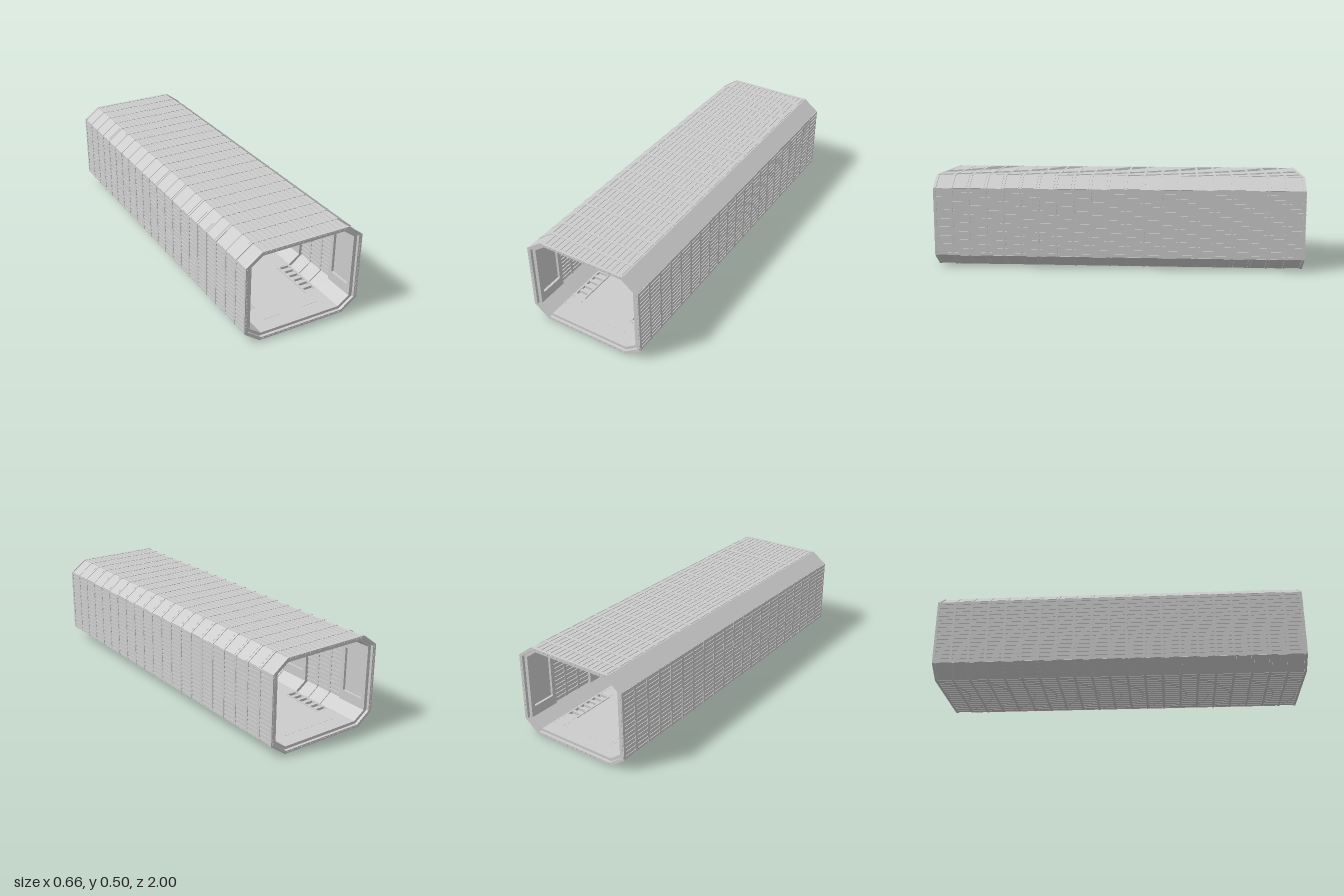
import * as THREE from 'three';
import { mergeGeometries } from 'three/addons/utils/BufferGeometryUtils.js';

const grey = new THREE.MeshStandardMaterial({ color: 0xcccccc, flatShading: true });
const MID = 0.25; // height of the tube axis

// Chamfered section: k = 0 is the outer skin, k = 1 the innermost lip.
const section = k => ({ w: 0.332 - 0.039 * k, h: 0.25 - 0.03 * k, cx: 0.245 - 0.015 * k, cy: 0.185 - 0.01 * k });

// Octagon outline; a notch cuts a shallow window recess into both side walls.
function outline(k, notch = 0) {
  const { w, h, cx, cy } = section(k);
  const right = [[cx, -h], [w, -cy]];
  if (notch) right.push([w, -0.12], [w + notch, -0.12], [w + notch, 0.12], [w, 0.12]);
  right.push([w, cy], [cx, h]);
  const left = right.map(([x, y]) => [-x, y]).reverse();
  return [...right, ...left].map(([x, y]) => new THREE.Vector2(x, y + MID));
}

// Octagonal ring between two depths, centred on z.
function ring(kOut, kIn, length, z, notch = 0) {
  const shape = new THREE.Shape(outline(kOut));
  shape.holes.push(new THREE.Path(outline(kIn, notch)));
  const geo = new THREE.ExtrudeGeometry(shape, { depth: length, bevelEnabled: false });
  return geo.translate(0, 0, z - length / 2).toNonIndexed?.() ?? geo;
}

const box = (w, h, d, x, y, z) => new THREE.BoxGeometry(w, h, d).translate(x, y, z);

export function createModel() {
  const model = new THREE.Group();
  const add = (name, geometries) => {
    const mesh = new THREE.Mesh(mergeGeometries(geometries), grey);
    mesh.name = name;
    model.add(mesh);
  };
  const range = (n, f) => Array.from({ length: n }, (_, i) => f(i));

  // Continuous wall of the tunnel
  add('shell', [ring(0.13, 0.5, 1.98, 0)]);

  // Evenly spaced hoops, showing outside and inside
  const hoopZ = range(20, i => -0.9 + i * 1.8 / 19);
  add('hoops', hoopZ.map(z => ring(0, 0.64, 0.014, z)));

  // Smooth corner plates between the hoops
  const plates = [];
  const a = section(0.05);
  const edge = Math.hypot(a.w - a.cx, a.h - a.cy);
  const angle = Math.atan2(a.h - a.cy, a.w - a.cx);
  for (const sx of [-1, 1]) for (const sy of [-1, 1]) for (let i = 0; i < 19; i++) {
    const plate = new THREE.BoxGeometry(edge, 0.004, 0.076);
    plate.rotateZ(-sx * sy * angle);
    plate.translate(sx * ((a.w + a.cx) / 2 - 0.001), MID + sy * ((a.h + a.cy) / 2 - 0.001), (i - 9) * 1.8 / 19);
    plates.push(plate);
  }
  add('cornerPlates', plates);

  // Lengthwise ribs on the outside
  const topRibs = [], sideRibs = [];
  for (const s of [-1, 1]) {
    for (let i = 0; i < 16; i++) {
      topRibs.push(box(0.019, 0.005, 1.98, (i - 7.5) * 0.03, MID + s * 0.2465, 0));
      sideRibs.push(box(0.005, 0.014, 1.98, s * 0.3285, MID + (i - 7.5) * 0.0235, 0));
    }
  }
  add('roofAndBaseRibs', topRibs);
  add('sideRibs', sideRibs);

  // Stepped end flanges with a row of small cleats
  const flanges = [], cleats = [];
  for (const s of [-1, 1]) {
    flanges.push(ring(0, 0.5, 0.014, s * 0.991));
    for (const t of [-1, 1]) {
      for (let i = 0; i < 16; i++) {
        cleats.push(box(0.014, 0.006, 0.003, (i - 7.5) * 0.03, MID + t * 0.243, s * 0.9985));
        cleats.push(box(0.007, 0.012, 0.003, t * 0.323, MID + (i - 7.5) * 0.023, s * 0.9985));
      }
    }
  }
  add('endFlanges', flanges);
  add('endCleats', cleats);

  // Five inner portal frames with recessed side panels
  const portalZ = range(5, i => (i - 2) * 0.447);
  const portals = [];
  for (const z of portalZ) {
    portals.push(ring(0.45, 1, 0.13, z, 0.014));
    for (const s of [-1, 1]) portals.push(ring(0.45, 1, 0.024, z + s * 0.077));
  }
  add('portalFrames', portals);

  // Lengthwise bars inside each bay, on walls and ceiling
  const wallBars = [], ceilingBars = [];
  for (let bay = 0; bay < 4; bay++) {
    const z = (bay - 1.5) * 0.447;
    for (let i = 0; i < 14; i++) {
      for (const s of [-1, 1]) wallBars.push(box(0.008, 0.012, 0.27, s * 0.311, MID + (i - 6.5) * 0.025, z));
      ceilingBars.push(box(0.012, 0.008, 0.27, (i - 6.5) * 0.032, 0.484, z));
    }
  }
  add('innerWallBars', wallBars);
  add('ceilingBars', ceilingBars);

  // Floor: solid walkway with a ladder of rungs along each side
  add('walkway', [box(0.3, 0.016, 1.8, 0, 0.0225, 0)]);
  const rungs = [];
  for (const s of [-1, 1]) {
    for (const x of [0.16, 0.225]) rungs.push(box(0.01, 0.016, 1.8, s * x, 0.0225, 0));
    for (let i = 0; i < 41; i++) rungs.push(box(0.06, 0.014, 0.018, s * 0.192, 0.0225, (i - 20) * 0.0445));
  }
  add('floorRungs', rungs);

  return model;
}
